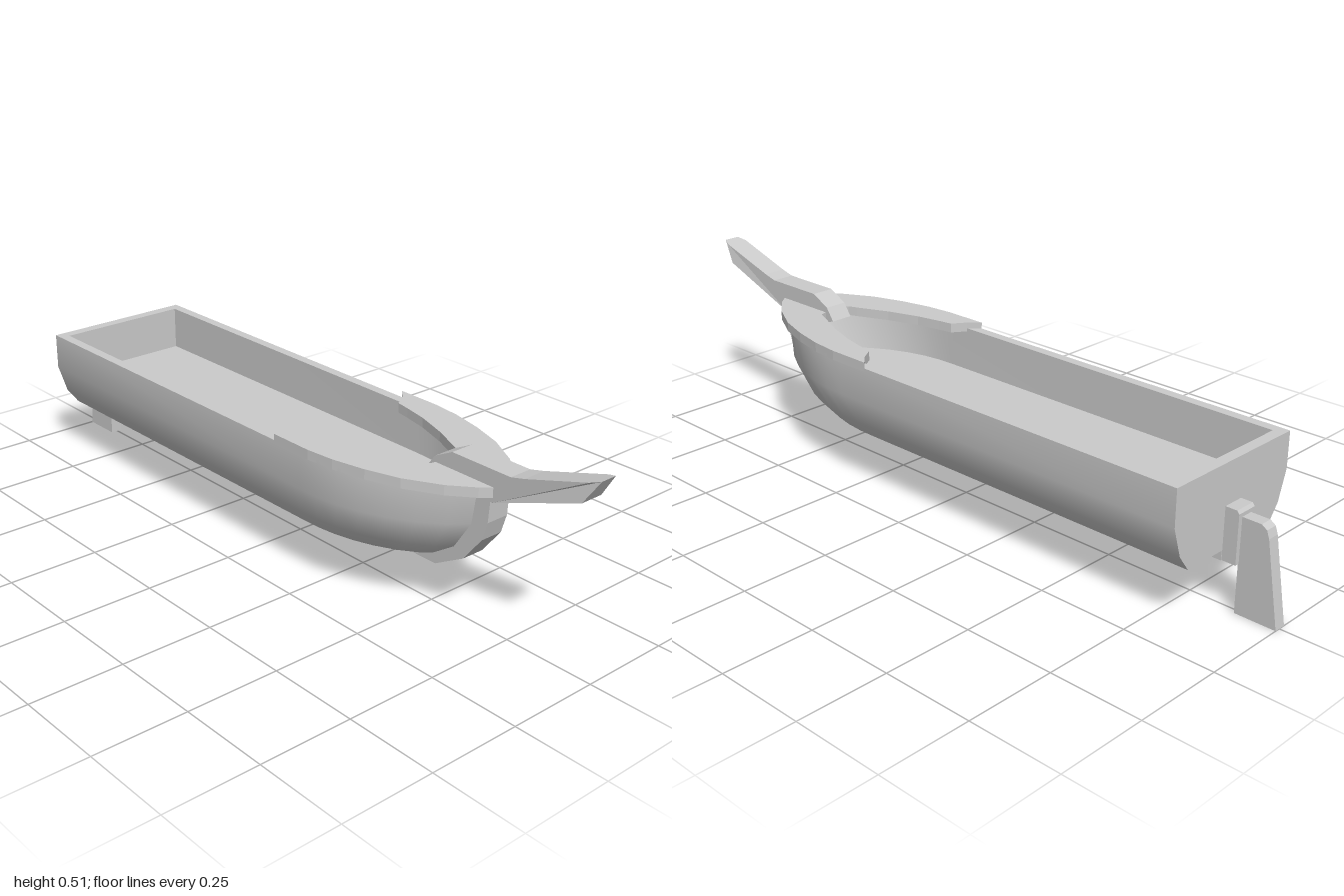
import * as THREE from 'three';
import { toCreasedNormals } from 'three/addons/utils/BufferGeometryUtils.js';

const material = new THREE.MeshStandardMaterial({ color: 0xcccccc });

function addMesh(group, name, geometry) {
  const mesh = new THREE.Mesh(geometry, material);
  mesh.name = name;
  group.add(mesh);
  return mesh;
}

// Side profile given as [z, y] points, extruded across x around the keel line.
function sideExtrude(points, width) {
  const shape = new THREE.Shape(points.map(([z, y]) => new THREE.Vector2(z, y)));
  return new THREE.ExtrudeGeometry(shape, { depth: width, bevelEnabled: false })
    .translate(0, 0, -width / 2)
    .rotateY(-Math.PI / 2)
    .translate(-0.0025, 0, 0);
}

// Bow curve: fraction along the bow, fraction of the half width.
const BOW = [[0, 1], [0.15, 0.99], [0.3, 0.95], [0.45, 0.87], [0.6, 0.75],
  [0.75, 0.58], [0.88, 0.37], [0.96, 0.18]];

// Horizontal outline of the boat at one height, from the left stern round the bow.
function waterline(y, halfWidth, stern, bowStart, bowEnd) {
  const left = [[halfWidth, stern],
    ...BOW.map(([t, f]) => [halfWidth * f, bowStart + (bowEnd - bowStart) * t])];
  const right = left.map(([x, z]) => [-x, z]).reverse();
  return [...left, [0, bowEnd], ...right].map(([x, z]) => [x, y, z]);
}

// Hull shell: outlines lofted from the bottom, up the outside, down the inside.
function hullGeometry() {
  const rings = [
    waterline(0.155, 0.157, -0.85, 0.2, 0.55),
    waterline(0.2, 0.191, -0.85, 0.22, 0.615),
    waterline(0.28, 0.217, -0.85, 0.25, 0.665),
    waterline(0.378, 0.217, -0.85, 0.25, 0.68),
    waterline(0.378, 0.19, -0.82, 0.24, 0.64),
    waterline(0.256, 0.19, -0.82, 0.24, 0.6),
  ];
  const pos = [];
  const n = rings[0].length;
  const tri = (a, b, c) => pos.push(...a, ...b, ...c);
  for (let j = 0; j < rings.length - 1; j++) {
    for (let i = 0; i < n; i++) {
      const k = (i + 1) % n;
      const [a, b, c, d] = [rings[j][i], rings[j][k], rings[j + 1][k], rings[j + 1][i]];
      tri(a, c, b);
      tri(a, d, c);
    }
  }
  // Flat bottom and deck floor
  const floor = rings[rings.length - 1];
  for (let i = 0; i < n; i++) {
    const k = (i + 1) % n;
    tri([0, 0.155, 0], rings[0][i], rings[0][k]);
    tri([0, 0.256, 0], floor[k], floor[i]);
  }
  const geo = new THREE.BufferGeometry();
  geo.setAttribute('position', new THREE.Float32BufferAttribute(pos, 3));
  return orient(geo);
}

// Turns the shell right side out if its signed volume is negative.
function orient(geo) {
  const p = geo.attributes.position;
  const v = [0, 1, 2].map(() => new THREE.Vector3());
  let volume = 0;
  for (let i = 0; i < p.count; i += 3) {
    v.forEach((w, k) => w.fromBufferAttribute(p, i + k));
    volume += v[0].dot(v[1].clone().cross(v[2]));
  }
  if (volume < 0) {
    for (let i = 0; i < p.count; i += 3) {
      const b = new THREE.Vector3().fromBufferAttribute(p, i + 1);
      const c = new THREE.Vector3().fromBufferAttribute(p, i + 2);
      p.setXYZ(i + 1, c.x, c.y, c.z);
      p.setXYZ(i + 2, b.x, b.y, b.z);
    }
  }
  return toCreasedNormals(geo, 0.6);
}

// Raised rail around the bow, notched for the bowsprit.
function railGeometry() {
  const half = [
    [0.03, 0.715], [0.06, 0.69], [0.11, 0.63], [0.16, 0.54], [0.19, 0.45],
    [0.21, 0.36], [0.218, 0.28], [0.218, 0.155], [0.19, 0.185], [0.152, 0.21],
    [0.145, 0.25], [0.13, 0.32], [0.1, 0.41], [0.06, 0.5], [0.05, 0.525],
    [0.028, 0.53], [0.022, 0.63],
  ];
  const outline = [...half, ...half.map(([x, z]) => [-x, z]).reverse()];
  const shape = new THREE.Shape(outline.map(([x, z]) => new THREE.Vector2(x, z)));
  return new THREE.ExtrudeGeometry(shape, { depth: 0.026, bevelEnabled: false })
    .rotateX(Math.PI / 2)
    .translate(0, 0.395, 0);
}

export function createModel() {
  const boat = new THREE.Group();
  boat.name = 'boat';

  addMesh(boat, 'hull', hullGeometry());
  addMesh(boat, 'bowRail', railGeometry());

  // Keel with the stem at the bow and the post at the stern
  addMesh(boat, 'keel', sideExtrude([
    [0.705, 0.37], [0.7, 0.3], [0.685, 0.25], [0.63, 0.18], [0.54, 0.13],
    [-0.85, 0.13], [-0.85, 0.16], [0.53, 0.16], [0.59, 0.215], [0.63, 0.28], [0.64, 0.37],
  ], 0.065));
  addMesh(boat, 'sternPost', sideExtrude([
    [-0.845, 0.13], [-0.845, 0.268], [-0.882, 0.268], [-0.888, 0.26], [-0.888, 0.13],
  ], 0.06));

  // Bowsprit: hooks over the rail and rises forward, with a narrowed tip
  const sprit = sideExtrude([
    [1, 0.51], [0.975, 0.502], [0.8, 0.448], [0.76, 0.438], [0.58, 0.438], [0.525, 0.41],
    [0.5, 0.375], [0.53, 0.365], [0.56, 0.39], [0.64, 0.39], [0.645, 0.356],
    [0.71, 0.356], [0.96, 0.448],
  ], 0.065);
  const p = sprit.attributes.position;
  for (let i = 0; i < p.count; i++) {
    if (p.getZ(i) > 0.99) p.setX(i, p.getX(i) * 0.7);
  }
  sprit.computeVertexNormals();
  addMesh(boat, 'bowsprit', sprit);

  // Rudder blade
  addMesh(boat, 'rudder', sideExtrude([
    [-0.886, 0], [-0.886, 0.25], [-0.94, 0.25], [-0.955, 0.24], [-0.962, 0.22], [-1, 0],
  ], 0.034));

  return boat;
}
